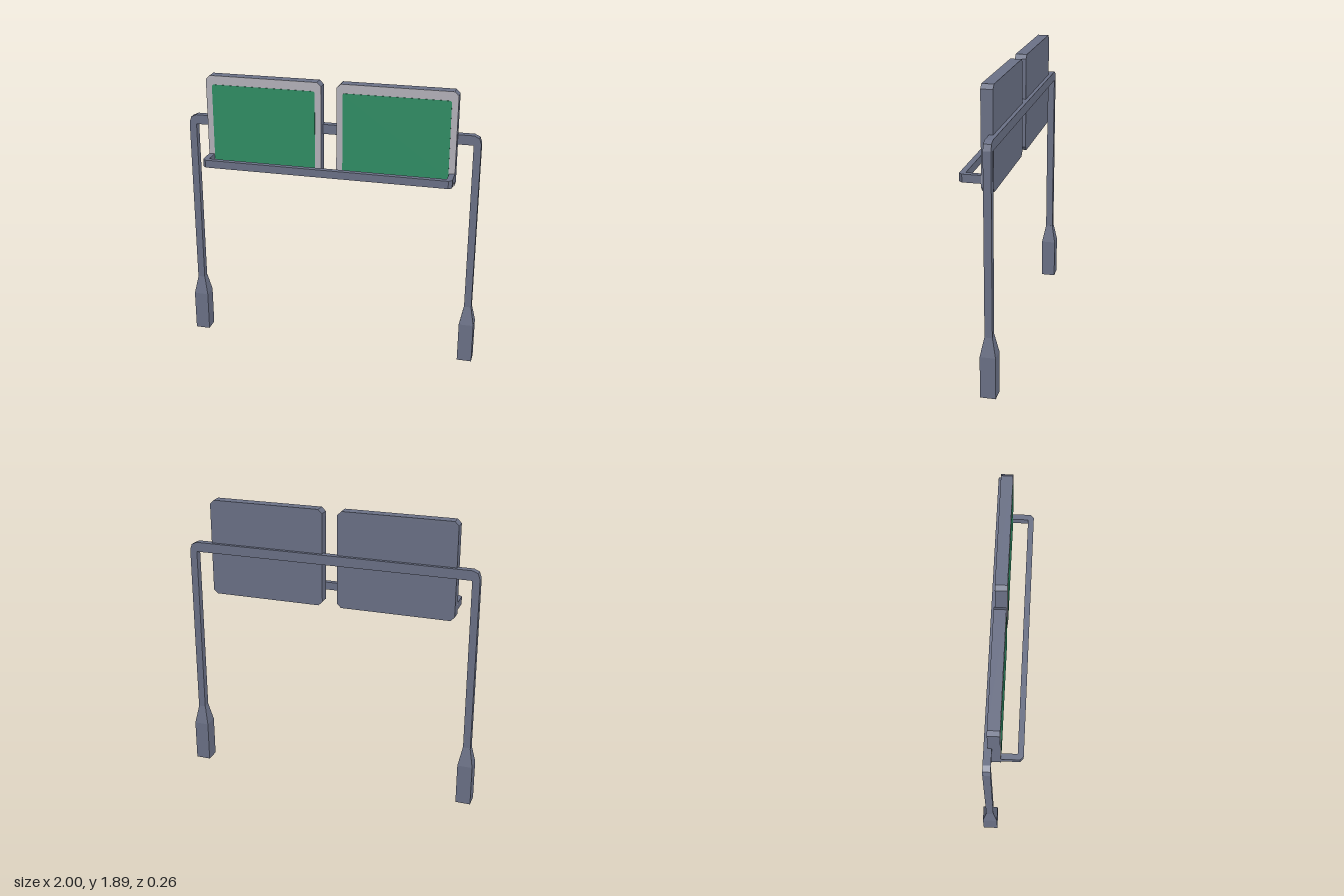
import * as THREE from 'three';

const metal = new THREE.MeshStandardMaterial({ color: 0x6a7085 });
metal.name = 'slate grey metal';
const border = new THREE.MeshStandardMaterial({ color: 0xb2b0b8 });
border.name = 'light grey border';
const green = new THREE.MeshStandardMaterial({ color: 0x2f8c63 });
green.name = 'sign green';

const POST_Z = -0.081;

function add(parent, name, geometry, material, x = 0, y = 0, z = 0) {
  const mesh = new THREE.Mesh(geometry, material);
  mesh.name = name;
  mesh.position.set(x, y, z);
  parent.add(mesh);
  return mesh;
}

// Flat outline pushed along +z with hard edges
function slab(points, depth) {
  const shape = new THREE.Shape(points.map(([x, y]) => new THREE.Vector2(x, y)));
  return new THREE.ExtrudeGeometry(shape, { depth, bevelEnabled: false });
}

// Centred rectangle with clipped corners
function clippedRect(w, h, c) {
  const x = w / 2, y = h / 2;
  return [[-x + c, -y], [x - c, -y], [x, -y + c], [x, y - c],
    [x - c, y], [-x + c, y], [-x, y - c], [-x, -y + c]];
}

// Outline of a half, closed by its mirror image across x = 0
const mirrored = (half) => [...half, ...half.map(([x, y]) => [-x, y]).reverse()];

export function createModel() {
  const model = new THREE.Group();
  model.name = 'roadSignGantry';

  // Posts and crossbeam as one bent frame
  const frame = mirrored([
    [0.928, 1.54], [0.928, 0.39], [0.976, 0.39], [0.976, 1.55], [0.963, 1.588], [0.928, 1.604],
  ]);
  add(model, 'postsAndCrossbeam', slab(frame, 0.048), metal, 0, 0, POST_Z - 0.024);

  // Square feet tapering up into the posts
  for (const side of [-1, 1]) {
    const foot = new THREE.Group();
    foot.name = side > 0 ? 'leftFoot' : 'rightFoot';
    foot.position.set(side * 0.951, 0, POST_Z);
    add(foot, 'footBlock', new THREE.BoxGeometry(0.098, 0.274, 0.098), metal, 0, 0.137, 0);
    const taper = new THREE.CylinderGeometry(0.024 * Math.SQRT2, 0.049 * Math.SQRT2, 0.126, 4)
      .rotateY(Math.PI / 4).toNonIndexed();
    taper.computeVertexNormals();
    add(foot, 'footTaper', taper, metal, 0, 0.337, 0);
    model.add(foot);
  }

  // Two sign panels: body, pale border face and green field
  for (const side of [-1, 1]) {
    const sign = new THREE.Group();
    sign.name = side > 0 ? 'leftSign' : 'rightSign';
    sign.position.set(side * 0.4385, 1.5735, 0);
    const outline = clippedRect(0.775, 0.639, 0.026);
    add(sign, 'signBody', slab(outline, 0.072), metal, 0, 0, -0.081);
    add(sign, 'signBorder', slab(outline, 0.002), border, 0, 0, -0.009);
    add(sign, 'signField', slab(clippedRect(0.693, 0.521, 0.008), 0.003), green, 0, 0, -0.007);
    model.add(sign);
  }

  // U-shaped rail in front of the signs, drawn in plan and laid flat
  const rail = mirrored([
    [0.789, -0.094], [0.789, 0.01], [0.826, 0.01], [0.826, -0.109], [0.804, -0.131],
  ]);
  const railGeometry = slab(rail.reverse(), 0.051).rotateX(-Math.PI / 2);
  add(model, 'frontRail', railGeometry, metal, 0, 1.306, 0);

  return model;
}
